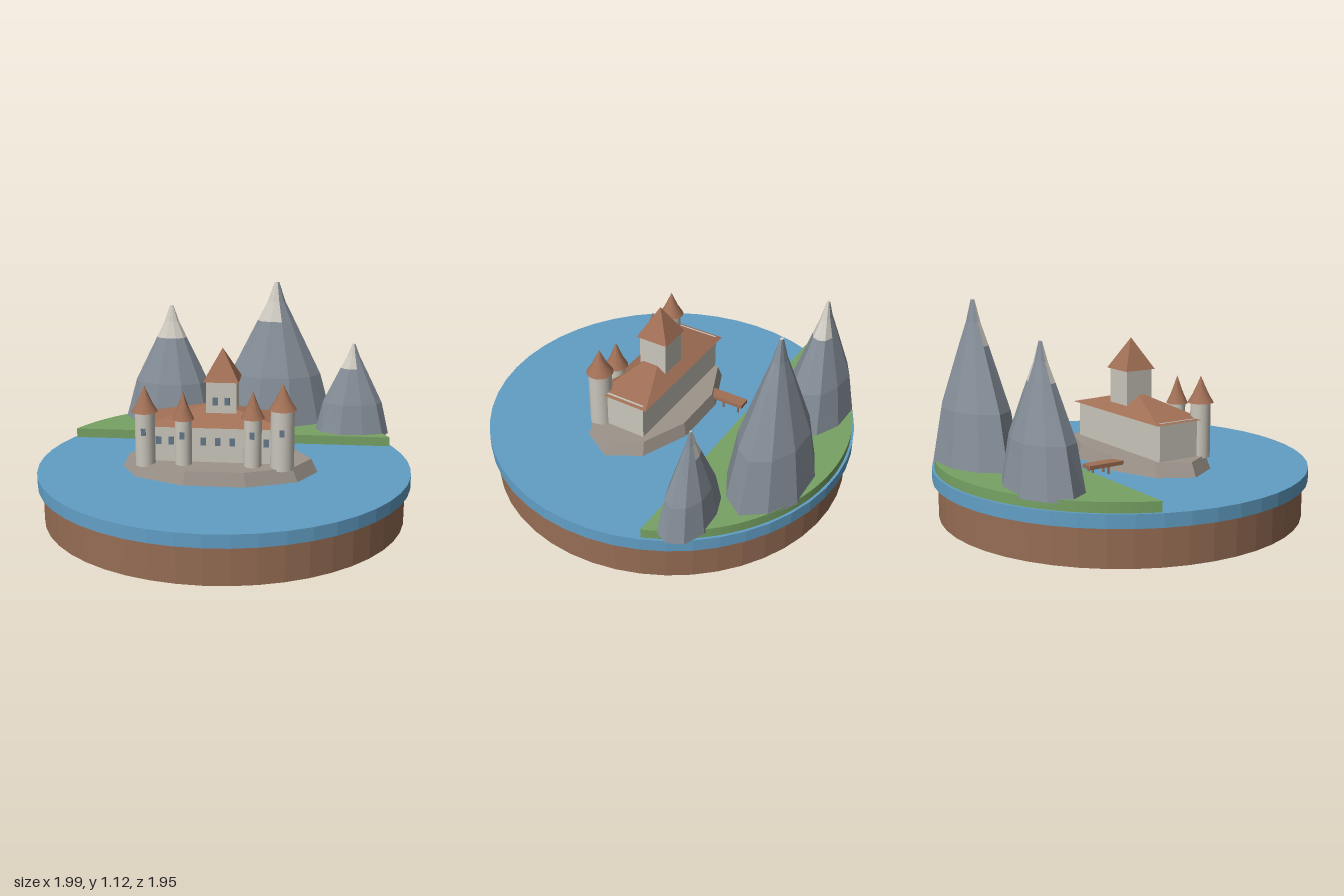
import * as THREE from 'three';
import { toCreasedNormals } from 'three/addons/utils/BufferGeometryUtils.js';

const mat = (name, color) => Object.assign(new THREE.MeshStandardMaterial({ color }), { name });
const M = {
  earth: mat('earth brown', 0x966d54),
  water: mat('water blue', 0x629fc6),
  grass: mat('grass green', 0x77a263),
  rock: mat('mountain slate', 0x858e98),
  snow: mat('snow', 0xd3cfc6),
  stone: mat('foundation stone', 0x9d948b),
  wall: mat('castle wall', 0xcac6bc),
  roof: mat('roof tile', 0xa06f55),
  window: mat('window glass', 0x66788a),
};

function add(parent, name, geometry, material, x = 0, y = 0, z = 0) {
  const mesh = new THREE.Mesh(geometry, material);
  mesh.name = name;
  mesh.position.set(x, y, z);
  parent.add(mesh);
  return mesh;
}

// Faceted copy of a geometry
function faceted(geometry) {
  const g = geometry.toNonIndexed();
  g.computeVertexNormals();
  return g;
}

// Four-sided roof with its base on y = 0
function pyramid(width, height, depth) {
  const g = new THREE.ConeGeometry(Math.SQRT1_2, 1, 4);
  g.rotateY(Math.PI / 4).translate(0, 0.5, 0).scale(width, height, depth);
  return faceted(g);
}

// Mountain built from elliptical rings; upper facets are snow where hasSnow(angle) holds
function mountain(parent, { x, z, a, b, top, snowLine, bare }) {
  const base = 0.295, sides = 10, h = top - base;
  const profile = [[1, 1], [0.65, 0.78], [snowLine, snowLine * 1.2], [snowLine / 2, snowLine * 0.58], [0, 0.04]];
  const point = (i, j) => {
    const [t, r] = profile[j];
    const k = i % sides, ang = (k / sides) * Math.PI * 2;
    const wobble = 1 + 0.035 * Math.sin(k * 2.4 + j * 0.6 + x * 9);
    return [Math.cos(ang) * r * a * wobble, base + h * (1 - t), Math.sin(ang) * r * b * wobble];
  };
  const faces = { rock: [], snow: [] };
  for (let i = 0; i < sides; i++) {
    const deg = ((i + 0.5) * 360) / sides;
    for (let j = 0; j < profile.length - 1; j++) {
      const list = j >= 2 && !bare(deg) ? faces.snow : faces.rock;
      const p = point(i, j), q = point(i + 1, j), r = point(i + 1, j + 1), s = point(i, j + 1);
      list.push(...p, ...r, ...q, ...p, ...s, ...r);
    }
    const last = profile.length - 1;
    faces.snow.push(0, top, 0, ...point(i + 1, last), ...point(i, last));
    faces.rock.push(0, base, 0, ...point(i, 0), ...point(i + 1, 0));
  }
  const group = new THREE.Group();
  group.name = 'mountain';
  group.position.set(x, 0, z);
  for (const key of ['rock', 'snow']) {
    const g = new THREE.BufferGeometry();
    g.setAttribute('position', new THREE.Float32BufferAttribute(faces[key], 3));
    g.computeVertexNormals();
    add(group, key === 'rock' ? 'mountainRock' : 'mountainSnow', g, M[key]);
  }
  parent.add(group);
}

// Round tower with a flared roof and a window
function tower(parent, x, z, radius, roofRadius, eave, top, windowY) {
  const g = new THREE.Group();
  g.name = 'tower';
  g.position.set(x, 0, z);
  const h = top - eave;
  const body = new THREE.CylinderGeometry(radius, radius, eave - 0.32, 20);
  add(g, 'towerBody', body, M.wall, 0, (eave + 0.32) / 2, 0);
  const profile = [[0, 0], [1, 0], [0.88, 0.1], [0.6, 0.33], [0.3, 0.65], [0, 1]]
    .map(([r, y]) => new THREE.Vector2(r * roofRadius, y * h));
  add(g, 'towerRoof', toCreasedNormals(new THREE.LatheGeometry(profile, 20), 0.9), M.roof, 0, eave, 0);
  add(g, 'towerWindow', new THREE.BoxGeometry(0.024, 0.036, 0.009), M.window, 0, windowY, radius);
  parent.add(g);
}

export function createModel() {
  const model = new THREE.Group();
  model.name = 'lakeCastle';

  // Everything on the disc is turned by 20 degrees
  const island = new THREE.Group();
  island.name = 'island';
  island.position.set(-0.022, 0, -0.004);
  island.rotation.y = -Math.PI / 9;
  model.add(island);

  // Earth and lake discs
  add(island, 'earthDisc', faceted(new THREE.CylinderGeometry(0.95, 0.95, 0.19, 48)), M.earth, 0, 0.095, 0);
  add(island, 'lake', faceted(new THREE.CylinderGeometry(0.978, 0.978, 0.067, 48)), M.water, 0, 0.2265, 0);

  // Grassy shore, a segment of the disc
  const start = Math.asin(0.375 / 0.964);
  const shore = new THREE.Shape().absarc(0, 0, 0.964, start, Math.PI - start, false);
  shore.closePath();
  const shoreGeometry = new THREE.ExtrudeGeometry(shore, { depth: 0.052, bevelEnabled: false, curveSegments: 24 });
  add(island, 'grassShore', shoreGeometry.rotateX(-Math.PI / 2), M.grass, 0, 0.259, 0);

  // Mountains
  mountain(island, { x: -0.376, z: -0.683, a: 0.275, b: 0.172, top: 0.98, snowLine: 0.27, bare: d => d > 170 && d < 280 });
  mountain(island, { x: 0.232, z: -0.718, a: 0.33, b: 0.2, top: 1.12, snowLine: 0.27, bare: d => d < 70 || d > 170 });
  mountain(island, { x: 0.677, z: -0.515, a: 0.211, b: 0.123, top: 0.81, snowLine: 0.27, bare: d => d < 60 || d > 290 });

  // Castle
  const castle = new THREE.Group();
  castle.name = 'castle';
  island.add(castle);

  // Ten-sided foundation
  const foundation = new THREE.CylinderGeometry(0.93, 1, 0.072, 10, 1, false, Math.PI / 2);
  foundation.scale(0.51, 1, 0.288);
  add(castle, 'foundation', faceted(foundation), M.stone, -0.014, 0.294, 0.098);

  // Main hall
  add(castle, 'hall', new THREE.BoxGeometry(0.745, 0.2, 0.24), M.wall, -0.033, 0.425, 0.083);
  add(castle, 'hallRoof', pyramid(0.78, 0.1, 0.295), M.roof, -0.033, 0.518, 0.083);
  for (const x of [-0.314, -0.25, -0.086, -0.012, 0.062, 0.235]) {
    add(castle, 'hallWindow', new THREE.BoxGeometry(0.027, 0.04, 0.008), M.window, x, 0.44, 0.204);
  }

  // Keep
  add(castle, 'keep', new THREE.BoxGeometry(0.155, 0.24, 0.155), M.wall, 0, 0.62, 0.069);
  add(castle, 'keepRoof', pyramid(0.179, 0.162, 0.179), M.roof, 0, 0.737, 0.069);
  for (const x of [-0.03, 0.03]) {
    add(castle, 'keepWindow', new THREE.BoxGeometry(0.027, 0.04, 0.008), M.window, x, 0.637, 0.147);
  }

  // Front towers
  tower(castle, -0.378, 0.235, 0.051, 0.066, 0.6, 0.735, 0.505);
  tower(castle, -0.183, 0.235, 0.043, 0.056, 0.565, 0.71, 0.49);
  tower(castle, 0.168, 0.235, 0.045, 0.06, 0.58, 0.72, 0.5);
  tower(castle, 0.317, 0.235, 0.06, 0.07, 0.628, 0.762, 0.52);

  // Landing stage behind the castle
  add(island, 'dockDeck', new THREE.BoxGeometry(0.066, 0.02, 0.21), M.roof, -0.2, 0.307, -0.23);
  for (const x of [-0.222, -0.178]) {
    for (const z of [-0.31, -0.22]) {
      add(island, 'dockPost', new THREE.CylinderGeometry(0.007, 0.007, 0.045, 6), M.roof, x, 0.28, z);
    }
  }

  return model;
}
